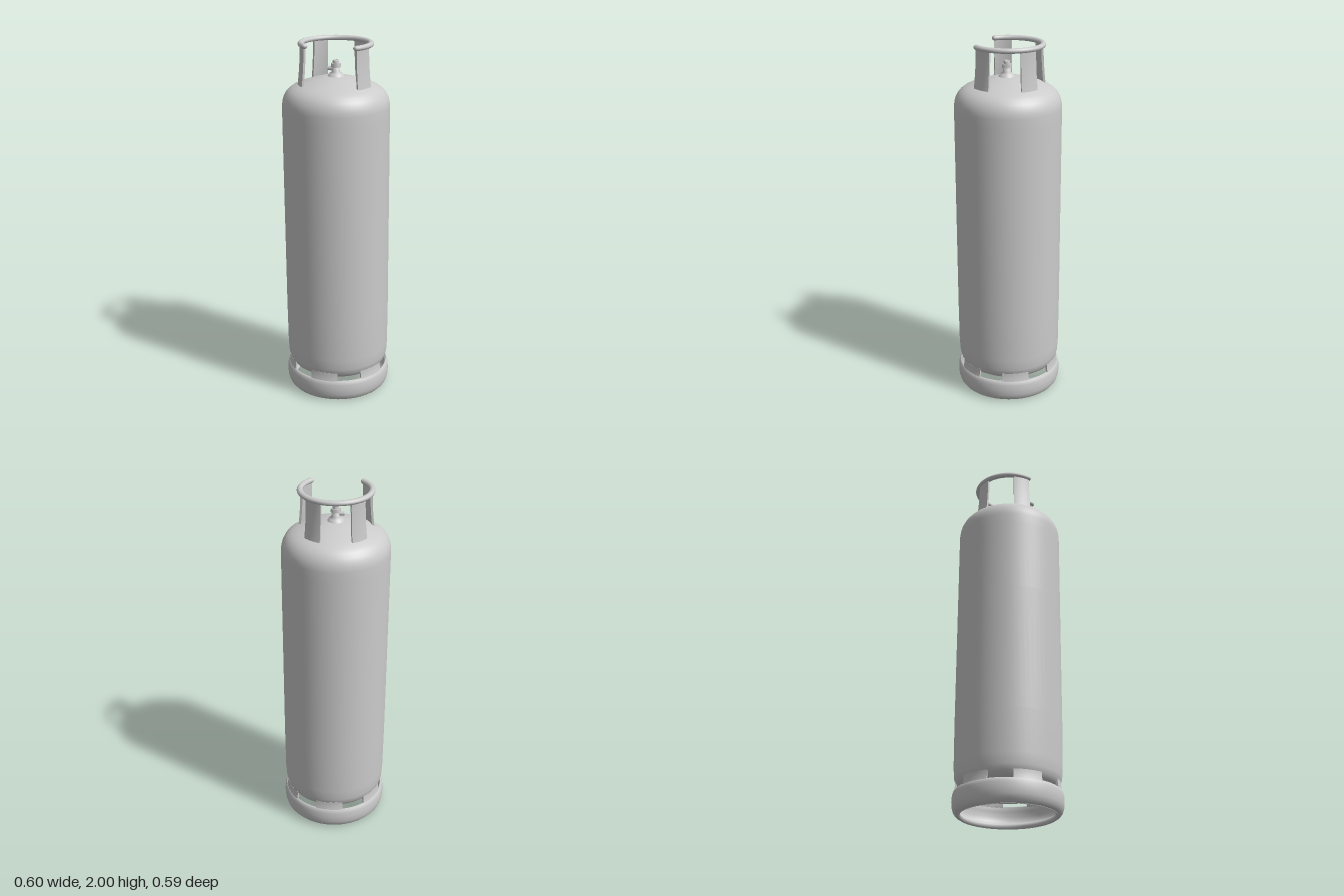
import * as THREE from 'three';

const material = new THREE.MeshStandardMaterial({ color: 0xcccccc });
const rad = THREE.MathUtils.degToRad;

function add(parent, name, geometry, x = 0, y = 0, z = 0) {
  const mesh = new THREE.Mesh(geometry, material);
  mesh.name = name;
  mesh.position.set(x, y, z);
  parent.add(mesh);
  return mesh;
}

// Moves every vertex by a rule
function warp(geometry, rule) {
  const p = geometry.attributes.position;
  const v = new THREE.Vector3();
  for (let i = 0; i < p.count; i++) {
    rule(v.fromBufferAttribute(p, i));
    p.setXYZ(i, v.x, v.y, v.z);
  }
  return geometry;
}

// The tall shell leans very slightly
const lean = (g) => warp(g, (v) => { v.x += 0.005 - 0.0085 * v.y; });

const lathe = (points, segments = 64) =>
  new THREE.LatheGeometry(points.map(([r, y]) => new THREE.Vector2(r, y)), segments);

// Curved plate between two angles, measured from the front towards +x;
// radiusAt(t) adds to the radius, t running from 0 at the bottom to 1 at the top
function curvedPlate(inner, outer, from, to, y0, y1, radiusAt) {
  const a = rad(from - 90), b = rad(to - 90);
  const shape = new THREE.Shape();
  shape.absarc(0, 0, outer, a, b, false);
  shape.absarc(0, 0, inner, b, a, true);
  const g = new THREE.ExtrudeGeometry(shape, {
    depth: y1 - y0, steps: 8, bevelEnabled: false, curveSegments: 10,
  });
  g.rotateX(-Math.PI / 2);
  warp(g, (v) => {
    const r = Math.hypot(v.x, v.z);
    const k = (r + radiusAt(v.y / (y1 - y0))) / r;
    v.x *= k;
    v.z *= k;
    v.y += y0;
  });
  g.computeVertexNormals();
  return g;
}

export function createModel() {
  const model = new THREE.Group();
  model.name = 'gasCylinder';

  // Tank with shallow bottom and domed shoulder
  add(model, 'tank', lean(lathe([
    [0, 0.11], [0.12, 0.115], [0.2, 0.124], [0.24, 0.135], [0.262, 0.15], [0.276, 0.17],
    [0.284, 0.2], [0.288, 0.26], [0.29, 0.5], [0.29, 1.2], [0.29, 1.6], [0.29, 1.655],
    [0.287, 1.68], [0.281, 1.702], [0.27, 1.724], [0.254, 1.743], [0.232, 1.759],
    [0.2, 1.774], [0.15, 1.791], [0.1, 1.805], [0.05, 1.815], [0, 1.818],
  ])));

  // Foot ring with a rolled lower lip
  add(model, 'footRing', lean(lathe([
    [0.262, 0.004], [0.275, 0.008], [0.286, 0.022], [0.293, 0.045], [0.295, 0.075],
    [0.293, 0.105], [0.288, 0.122], [0.28, 0.13], [0.274, 0.125], [0.278, 0.1],
    [0.28, 0.07], [0.275, 0.045], [0.262, 0.032], [0.25, 0.024], [0.248, 0.012],
    [0.254, 0.003], [0.262, 0],
  ].concat([[0.262, 0.004]]))));

  // Webs that join foot ring and tank, leaving six vent slots
  for (let i = 0; i < 6; i++) {
    const middle = 16 + 60 * i;
    add(model, 'footWeb', lean(curvedPlate(0.27, 0.28, middle - 16, middle + 16, 0.115, 0.175,
      (t) => 0.008 * (1 - t) ** 2 - 0.002)));
  }

  // Collar: four curved straps, flared where they meet the shoulder
  const collar = new THREE.Group();
  collar.name = 'collar';
  collar.position.set(-0.01, 0, 0);
  model.add(collar);
  for (const [from, to] of [[7, 38], [89, 118], [166, 193], [242, 271]]) {
    add(collar, 'collarStrap', curvedPlate(0.178, 0.19, from, to, 1.765, 1.985,
      (t) => 0.014 * (1 - t) ** 2));
  }

  // Open grab rail on top of the straps
  const rail = [];
  for (let i = 0; i <= 24; i++) {
    const a = rad(7 + (264 * i) / 24);
    rail.push(new THREE.Vector3(0.185 * Math.sin(a), 0, 0.185 * Math.cos(a)));
  }
  const railGeometry = new THREE.TubeGeometry(new THREE.CatmullRomCurve3(rail), 72, 0.016, 12);
  add(collar, 'grabRail', railGeometry, 0, 1.986, 0).scale.y = 0.875;
  for (const end of [rail[0], rail[24]]) {
    add(collar, 'railEnd', new THREE.SphereGeometry(0.016, 12, 8), end.x, 1.986, end.z)
      .scale.set(1, 0.875, 1);
  }

  // Valve: boss, stem, hex nut with hollow tip, angled outlet
  const valve = new THREE.Group();
  valve.name = 'valve';
  valve.position.set(-0.012, 0, 0.005);
  model.add(valve);
  add(valve, 'valveBoss', lathe([
    [0.055, 1.805], [0.042, 1.818], [0.036, 1.83], [0.022, 1.838], [0.02, 1.872], [0, 1.874],
  ], 24));
  add(valve, 'valveNut', new THREE.CylinderGeometry(0.026, 0.028, 0.02, 6), 0, 1.872, 0);
  add(valve, 'valveTip', lathe([
    [0.017, 1.88], [0.017, 1.896], [0.013, 1.901], [0.009, 1.899], [0.007, 1.888], [0, 1.888],
  ], 20));
  const outlet = new THREE.CylinderGeometry(0.012, 0.012, 0.04, 12);
  outlet.rotateX(Math.PI / 2);
  add(valve, 'valveOutlet', outlet, -0.018, 1.855, -0.016).rotation.y = rad(48);

  return model;
}
